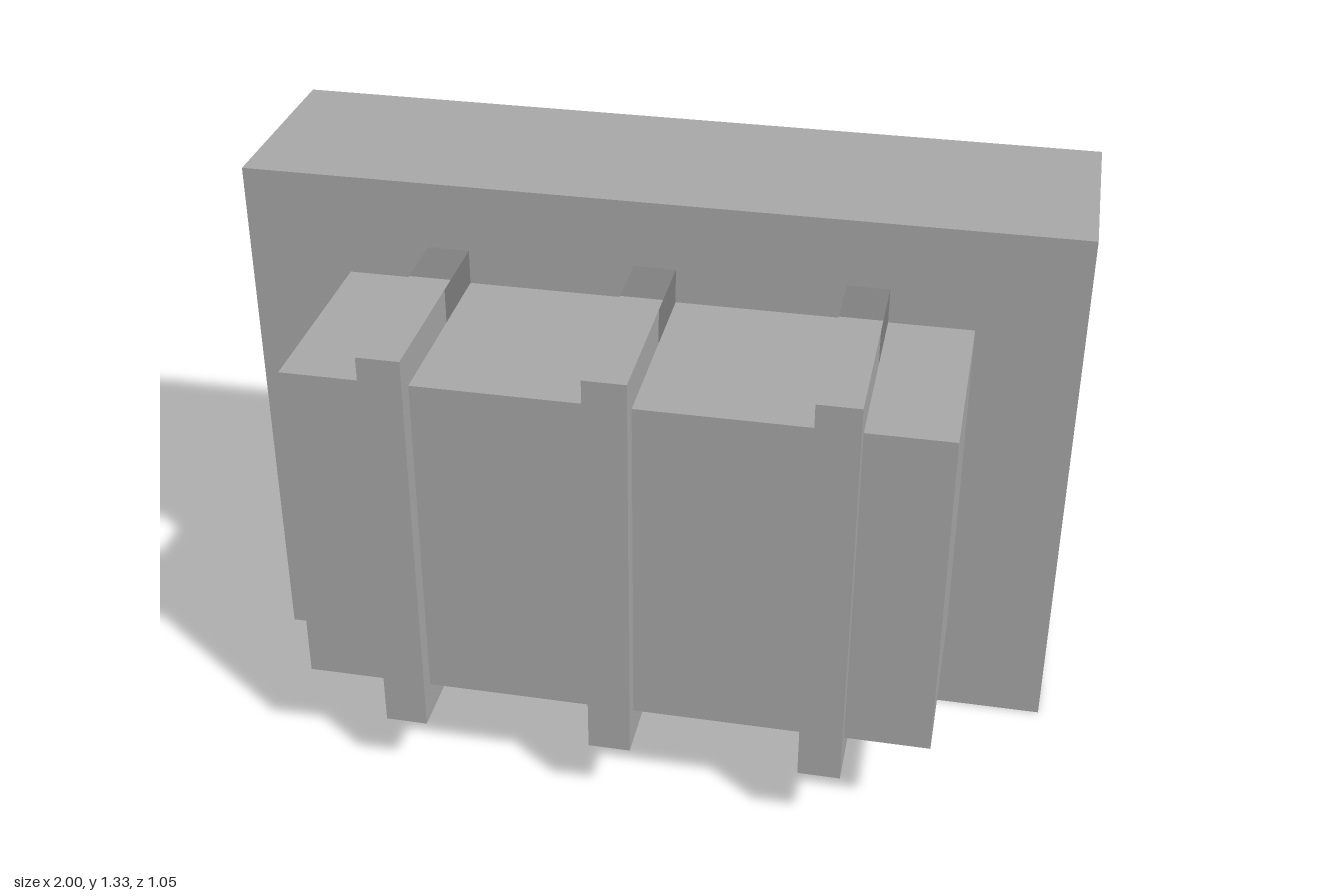
import * as THREE from 'three';

export function createModel() {
  const model = new THREE.Group();
  const grey = new THREE.MeshStandardMaterial({ color: 0xa8a8a8 });
  grey.name = 'lightGrey';
  const dark = new THREE.MeshStandardMaterial({ color: 0x808080 });
  dark.name = 'darkGrey';

  // Box given by its limits on each axis
  function addBox(parent, name, material, [x0, x1], [y0, y1], [z0, z1]) {
    const mesh = new THREE.Mesh(new THREE.BoxGeometry(x1 - x0, y1 - y0, z1 - z0), material);
    mesh.position.set((x0 + x1) / 2, (y0 + y1) / 2, (z0 + z1) / 2);
    mesh.name = name;
    parent.add(mesh);
  }

  // Back slab and the smaller block mounted on it
  addBox(model, 'backSlab', grey, [-1, 1], [0, 1.333], [-0.523, -0.023]);
  addBox(model, 'frontBlock', grey, [-0.75, 0.75], [0.253, 1.083], [-0.023, 0.477]);

  // Three straps around the block, with dark roots;
  // the dark reaches further along the strap sides than its top and bottom
  const darkSides = [dark, dark, grey, grey, grey, grey];
  for (const x of [-0.5, 0, 0.5]) {
    const strap = new THREE.Group();
    strap.name = 'strap';
    const width = [x - 0.05, x + 0.05];
    const height = [0.168, 1.168];
    addBox(strap, 'strapRoot', dark, width, height, [-0.023, 0.13]);
    addBox(strap, 'strapTransition', darkSides, width, height, [0.13, 0.18]);
    addBox(strap, 'strapFront', grey, width, height, [0.18, 0.523]);
    model.add(strap);
  }
  return model;
}
